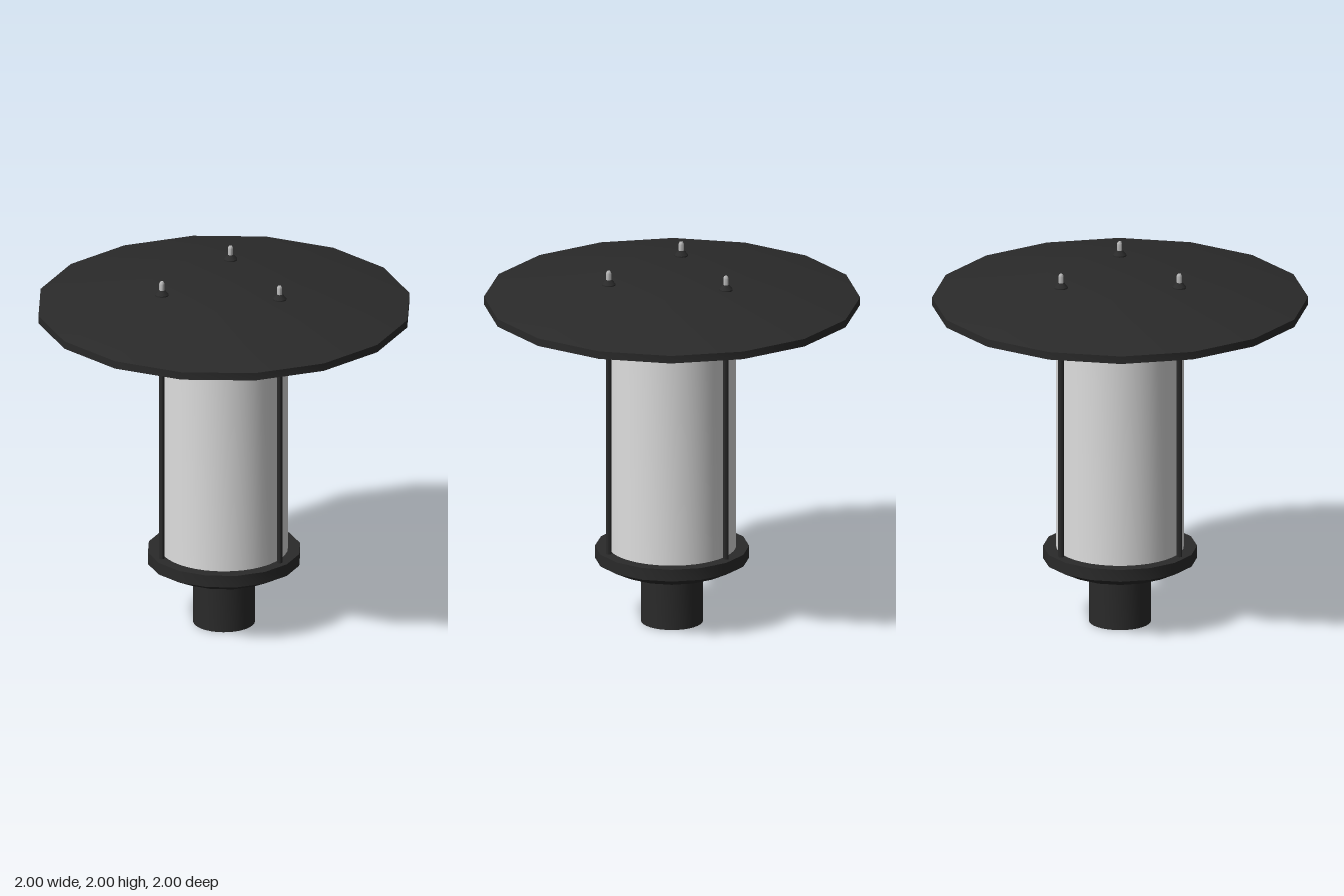
import * as THREE from 'three';
import { toCreasedNormals } from 'three/addons/utils/BufferGeometryUtils.js';

const black = new THREE.MeshStandardMaterial({ color: 0x2a2a2a });
black.name = 'blackMetal';
const white = new THREE.MeshStandardMaterial({ color: 0xdedede });
white.name = 'frostedWhite';
const steel = new THREE.MeshStandardMaterial({ color: 0xb8b8b8 });
steel.name = 'steel';

// Turned part from [radius, height] pairs, with sharp rims and smooth sides
function turned(name, profile, sides, material) {
  const points = profile.map(([r, y]) => new THREE.Vector2(r, y));
  const geometry = toCreasedNormals(new THREE.LatheGeometry(points, sides), 0.55);
  const mesh = new THREE.Mesh(geometry, material);
  mesh.name = name;
  return mesh;
}

export function createModel() {
  const lamp = new THREE.Group();
  lamp.name = 'postLantern';

  // Socket and dished base
  lamp.add(turned('socket', [[0, 0], [0.165, 0], [0.165, 0.27], [0, 0.27]], 32, black));
  lamp.add(turned('base',
    [[0, 0.26], [0.165, 0.26], [0.3, 0.298], [0.41, 0.352], [0.41, 0.418], [0, 0.418]], 16, black));

  // Frosted cylinder and the collar that holds its top
  lamp.add(turned('diffuser', [[0.34, 0.41], [0.34, 1.88]], 40, white));
  lamp.add(turned('collar', [[0, 1.865], [0.41, 1.865], [0.41, 1.912], [0, 1.912]], 16, black));

  // Sixteen-sided shade: black outside, white underside
  lamp.add(turned('shade', [[0.994, 1.768], [1, 1.768], [1, 1.81], [0.4, 1.922], [0, 1.922]], 16, black));
  lamp.add(turned('shadeUnderside', [[0, 1.915], [0.4, 1.915], [0.994, 1.803], [0.994, 1.768]], 16, white));

  // Three tie rods, each with a cap nut and a steel stud above the shade
  for (let i = 0; i < 3; i++) {
    const angle = (i * Math.PI * 2) / 3;
    const tie = new THREE.Group();
    tie.name = 'tieRod' + (i + 1);
    tie.position.set(0.363 * Math.cos(angle), 0, 0.363 * Math.sin(angle));
    tie.add(turned('rod', [[0.015, 0.41], [0.015, 1.88]], 12, black));
    tie.add(turned('nut', [[0.036, 1.918], [0.036, 1.928], [0.017, 1.952], [0, 1.952]], 16, black));
    tie.add(turned('stud', [[0.014, 1.94], [0.014, 1.99], [0.009, 2], [0, 2]], 12, steel));
    lamp.add(tie);
  }
  return lamp;
}
